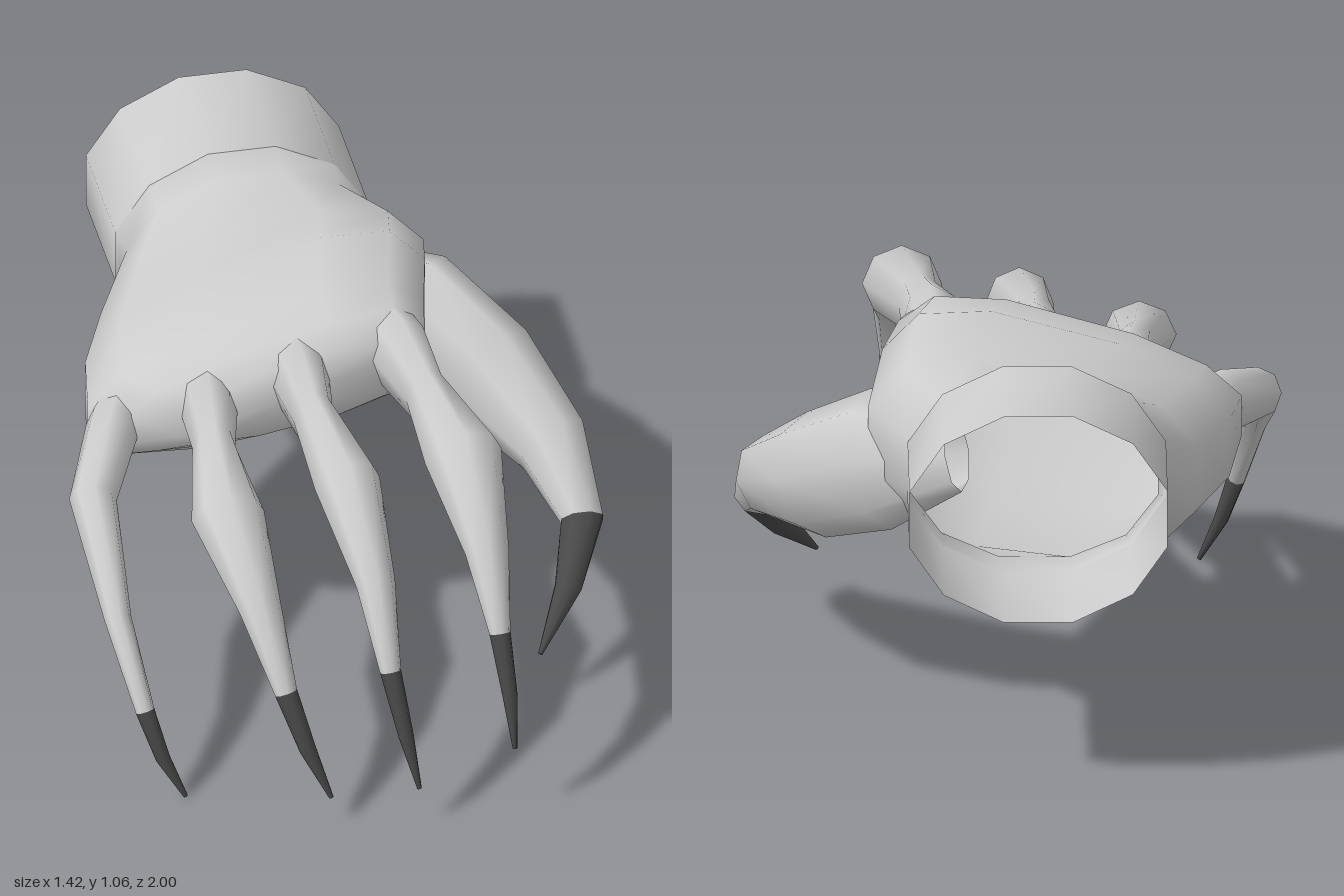
import * as THREE from 'three';

const skin = new THREE.MeshStandardMaterial({ color: 0xcccccc, side: THREE.DoubleSide });
skin.name = 'pale grey skin';
const claw = new THREE.MeshStandardMaterial({ color: 0x4a4a4a, side: THREE.DoubleSide });
claw.name = 'dark grey claw';

// Skin a list of closed rings, optionally closing the far end with a fan
function loft(name, rings, material, cap) {
  const n = rings[0].length, pos = [], index = [];
  rings.forEach(r => r.forEach(p => pos.push(p.x, p.y, p.z)));
  for (let k = 0; k < rings.length - 1; k++) {
    for (let i = 0; i < n; i++) {
      const a = k * n + i, b = k * n + (i + 1) % n;
      index.push(a, b, b + n, a, b + n, a + n);
    }
  }
  if (cap) {
    const last = rings[rings.length - 1], start = (rings.length - 1) * n;
    const c = last.reduce((s, p) => s.add(p), new THREE.Vector3()).divideScalar(n);
    pos.push(c.x, c.y, c.z);
    for (let i = 0; i < n; i++) index.push(start + i, start + (i + 1) % n, rings.length * n);
  }
  const g = new THREE.BufferGeometry();
  g.setAttribute('position', new THREE.Float32BufferAttribute(pos, 3));
  g.setIndex(index);
  g.computeVertexNormals();
  const mesh = new THREE.Mesh(g, material);
  mesh.name = name;
  return mesh;
}

// Cross-section of the hand at z: rounded slab, flat side up, whose top and bottom may tilt
function handRing([z, xL, xR, topL, topR, botL, botR, e]) {
  const ring = [], flat = Math.cos(Math.PI / 12);
  const soften = v => Math.sign(v) * Math.pow(Math.abs(v) / flat, e);
  for (let i = 0; i < 12; i++) {
    const a = (i + 0.5) / 12 * Math.PI * 2;
    const u = (soften(Math.cos(a)) + 1) / 2;
    const top = topL + (topR - topL) * u, bot = botL + (botR - botL) * u;
    const y = (top + bot) / 2 + (top - bot) / 2 * soften(Math.sin(a));
    ring.push(new THREE.Vector3(xL + (xR - xL) * u, y, z));
  }
  return ring;
}

// Elliptical rings square to a path of [x, y, z, sideRadius, heightRadius]
function pathRings(path, ref) {
  const pts = path.map(p => new THREE.Vector3(p[0], p[1], p[2]));
  return path.map((p, k) => {
    const before = pts[Math.max(k - 1, 0)], after = pts[Math.min(k + 1, pts.length - 1)];
    const t = after.clone().sub(before).normalize();
    const side = ref.clone().addScaledVector(t, -ref.dot(t)).normalize();
    const up = t.clone().cross(side);
    return Array.from({ length: 8 }, (_, i) => {
      const a = i / 8 * Math.PI * 2;
      return pts[k].clone().addScaledVector(side, Math.cos(a) * p[3]).addScaledVector(up, Math.sin(a) * p[4]);
    });
  });
}

// A digit: skin up to the claw root (third ring from the end), then the claw
function digit(name, path, ref = new THREE.Vector3(1, 0, 0)) {
  const rings = pathRings(path, ref), root = path.length - 3;
  const group = new THREE.Group();
  group.name = name;
  group.add(loft(name + 'Flesh', rings.slice(0, root + 1), skin, false));
  group.add(loft(name + 'Claw', rings.slice(root), claw, true));
  return group;
}

export function createModel() {
  const model = new THREE.Group();
  model.name = 'clawedHand';

  // Wrist tube open at the back, flowing into the palm and back of the hand
  const wristEnd = [-0.63, -0.4, 0.27, 1.06, 1.06, 0.49, 0.49, 1];
  model.add(loft('wrist', [handRing([-1, ...wristEnd.slice(1)]), handRing(wristEnd)], skin, false));
  model.add(loft('palm', [
    wristEnd,
    [-0.58, -0.38, 0.265, 1.00, 1.02, 0.51, 0.52, 0.95],
    [-0.41, -0.485, 0.37, 0.91, 1.04, 0.42, 0.51, 0.8],
    [-0.20, -0.57, 0.33, 0.88, 1.13, 0.46, 0.55, 0.75],
    [0.00, -0.605, 0.285, 0.83, 1.09, 0.54, 0.65, 0.75],
    [0.08, -0.52, 0.27, 0.82, 1.04, 0.60, 0.71, 0.75],
    [0.15, -0.37, 0.21, 0.83, 0.97, 0.66, 0.76, 0.8],
  ].map(handRing), skin, true));

  // Four fingers arching forward and down
  model.add(digit('indexFinger', [
    [0.17, 0.88, -0.06, 0.07, 0.09],
    [0.198, 0.885, 0.14, 0.08, 0.112],
    [0.225, 0.87, 0.32, 0.056, 0.088],
    [0.27, 0.84, 0.57, 0.104, 0.098],
    [0.285, 0.69, 0.80, 0.058, 0.055],
    [0.295, 0.51, 0.915, 0.028, 0.032],
    [0.31, 0.35, 0.97, 0.02, 0.022],
    [0.318, 0.20, 0.995, 0.006, 0.006],
  ]));
  model.add(digit('middleFinger', [
    [-0.07, 0.83, -0.06, 0.07, 0.09],
    [-0.07, 0.84, 0.14, 0.076, 0.108],
    [-0.07, 0.83, 0.30, 0.054, 0.085],
    [-0.035, 0.79, 0.56, 0.088, 0.09],
    [-0.01, 0.63, 0.80, 0.052, 0.052],
    [0.005, 0.43, 0.915, 0.028, 0.032],
    [0.035, 0.26, 0.97, 0.02, 0.022],
    [0.065, 0.11, 0.995, 0.006, 0.006],
  ]));
  model.add(digit('ringFinger', [
    [-0.29, 0.76, -0.08, 0.07, 0.08],
    [-0.31, 0.775, 0.12, 0.076, 0.10],
    [-0.33, 0.76, 0.28, 0.056, 0.08],
    [-0.345, 0.71, 0.53, 0.097, 0.087],
    [-0.305, 0.56, 0.75, 0.056, 0.05],
    [-0.262, 0.37, 0.87, 0.03, 0.032],
    [-0.215, 0.22, 0.92, 0.022, 0.022],
    [-0.158, 0.08, 0.945, 0.006, 0.006],
  ]));
  model.add(digit('littleFinger', [
    [-0.46, 0.69, -0.14, 0.05, 0.07],
    [-0.55, 0.70, 0.05, 0.07, 0.09],
    [-0.65, 0.64, 0.28, 0.062, 0.068],
    [-0.645, 0.46, 0.57, 0.036, 0.04],
    [-0.60, 0.25, 0.70, 0.025, 0.028],
    [-0.56, 0.12, 0.735, 0.019, 0.02],
    [-0.503, 0.005, 0.75, 0.006, 0.006],
  ]));

  // Thumb reaching sideways, then curling inward
  model.add(digit('thumb', [
    [0.14, 0.77, -0.50, 0.05, 0.10],
    [0.335, 0.70, -0.35, 0.13, 0.185],
    [0.50, 0.59, -0.17, 0.13, 0.165],
    [0.615, 0.50, 0.06, 0.098, 0.108],
    [0.652, 0.385, 0.25, 0.058, 0.062],
    [0.59, 0.26, 0.37, 0.037, 0.038],
    [0.492, 0.14, 0.485, 0.006, 0.006],
  ], new THREE.Vector3(1, 0, -0.4)));

  return model;
}
